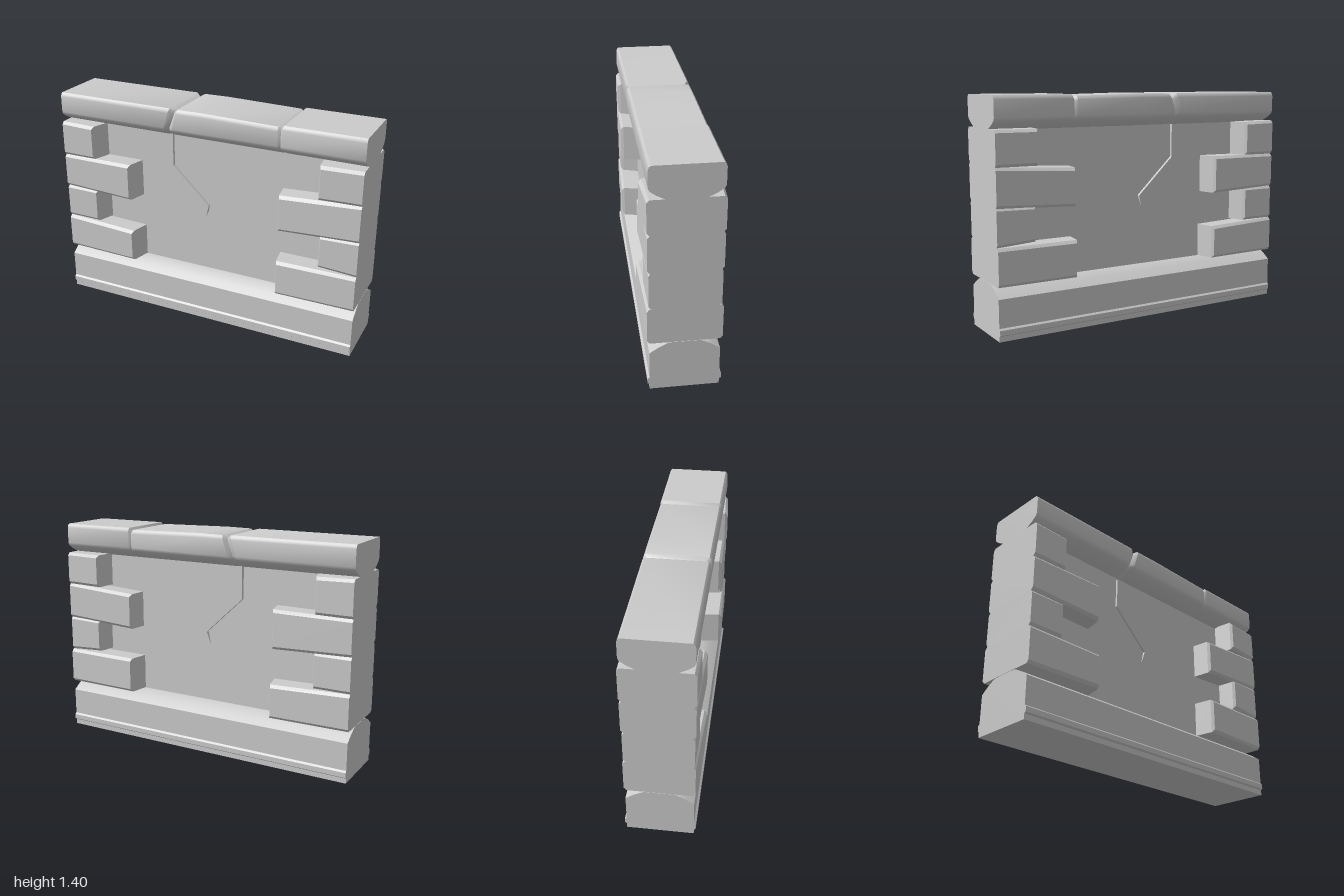
import * as THREE from 'three';
import { toCreasedNormals } from 'three/addons/utils/BufferGeometryUtils.js';
import { ConvexGeometry } from 'three/addons/geometries/ConvexGeometry.js';

const material = new THREE.MeshStandardMaterial({ color: 0xcccccc });
const PANEL_Z = 0.085;

function addMesh(parent, name, geometry) {
  const mesh = new THREE.Mesh(geometry, material);
  mesh.name = name;
  parent.add(mesh);
  return mesh;
}

// Sweeps a half profile of [z, y] points (bottom to top), mirrored in z, along x.
// place(z, y, station) returns the position of a profile point at a station.
function loft(half, stations, place, centreY) {
  const profile = [...half, ...half.map(([z, y]) => [-z, y]).reverse()];
  const n = profile.length, last = stations.length - 1;
  const positions = [], index = [];
  for (const s of stations) for (const [z, y] of profile) positions.push(...place(z, y, s));
  for (let i = 0; i < last; i++) {
    for (let j = 0; j < n; j++) {
      const k = (j + 1) % n, a = i * n, b = a + n;
      index.push(a + j, b + j, b + k, a + j, b + k, a + k);
    }
  }
  // end faces as fans
  const c = (last + 1) * n;
  positions.push(...place(0, centreY, stations[0]), ...place(0, centreY, stations[last]));
  for (let j = 0; j < n; j++) {
    const k = (j + 1) % n;
    index.push(c, j, k, c + 1, last * n + k, last * n + j);
  }
  const geometry = new THREE.BufferGeometry();
  geometry.setAttribute('position', new THREE.Float32BufferAttribute(positions, 3));
  geometry.setIndex(index);
  return toCreasedNormals(geometry, 0.6);
}

// Corner stone through the full depth of the wall, with chamfered faces.
// bottom, top and z are [inner, outer] pairs; slope is the flare of the inner end.
function cornerStone({ side, inner, bottom, top, z, slope }) {
  const points = [], c = 0.018;
  const put = (x, y, depth) => {
    for (const s of [1, -1]) points.push(new THREE.Vector3(side * x, y, s * depth));
  };
  for (const [y0, sign] of [[bottom, 1], [top, -1]]) {
    put(inner - slope, y0[0], PANEL_Z - 0.02);
    put(inner, y0[0], z[0] - c);
    put(inner + 0.01, y0[0] + sign * c, z[0]);
    put(1, y0[1], z[1] - c);
    put(1, y0[1] + sign * c, z[1] - 0.003);
  }
  return new ConvexGeometry(points);
}

// Wall face with a jagged crack cut out of it.
function panelFace() {
  const shape = new THREE.Shape();
  shape.moveTo(-0.97, 0.3).lineTo(0.97, 0.3).lineTo(0.97, 1.25).lineTo(-0.97, 1.25).closePath();
  const crack = [[-0.258, 1.235], [-0.258, 0.99], [-0.012, 0.757], [-0.028, 0.68], [0.004, 0.765], [-0.246, 1.0], [-0.244, 1.235]];
  shape.holes.push(new THREE.Path(crack.map(([x, y]) => new THREE.Vector2(x, y))));
  return new THREE.ExtrudeGeometry(shape, { depth: 0.025, bevelEnabled: false });
}

export function createModel() {
  const wall = new THREE.Group();
  wall.name = 'stoneWall';

  // Plinth with a thin lip and a sloped top
  const plinth = [[0.2, 0], [0.2, 0.032], [0.211, 0.04], [0.211, 0.07], [0.2, 0.08], [0.2, 0.25], [0.15, 0.285], [0.09, 0.316]];
  addMesh(wall, 'plinth', loft(plinth, [-1, 1], (z, y, x) => [x, y, z], 0.15));

  // Recessed panel: a core with a cracked skin on both faces
  const panel = new THREE.Group();
  panel.name = 'panel';
  wall.add(panel);
  const core = addMesh(panel, 'panelCore', new THREE.BoxGeometry(1.94, 0.98, 0.13));
  core.position.y = 0.79;
  addMesh(panel, 'frontFace', panelFace()).position.z = PANEL_Z - 0.025;
  addMesh(panel, 'backFace', panelFace()).position.z = -PANEL_Z;

  // Coping: worn top, with joints that narrow it at x = -0.19 and x = 0.5
  const coping = [[0.08, 1.2], [0.115, 1.212], [0.16, 1.235], [0.192, 1.258], [0.2, 1.275], [0.2, 1.375], [0.195, 1.39], [0.185, 1.4]];
  const stations = [
    { x: -1 }, { x: -0.22 }, { x: -0.19, inset: 0.022, drop: 0.016, skew: 0.06 },
    { x: -0.165, drop: 0.002 }, { x: 0 }, { x: 0.48, drop: 0.01 },
    { x: 0.497, inset: 0.01, drop: 0.018 }, { x: 0.512 }, { x: 1 },
  ];
  for (const i of [1, 3]) stations[i].skew = 0.06;
  addMesh(wall, 'coping', loft(coping, stations, (z, y, { x, inset = 0, drop = 0, skew = 0 }) => [
    x - skew * (1.4 - y) / 0.2,
    y - (y > 1.3 ? drop : 0),
    z - Math.sign(z) * (Math.abs(z) > 0.1 ? inset : 0),
  ], 1.3));

  // Corner stones, alternating long and short, from bottom to top
  const stones = [
    { side: -1, inner: 0.5, bottom: [0.318, 0.318], top: [0.53, 0.545], z: [0.222, 0.21], slope: 0.03 },
    { side: -1, inner: 0.77, bottom: [0.545, 0.545], top: [0.765, 0.765], z: [0.205, 0.205], slope: 0.04 },
    { side: -1, inner: 0.51, bottom: [0.75, 0.765], top: [0.99, 0.985], z: [0.218, 0.21], slope: 0.03 },
    { side: -1, inner: 0.77, bottom: [0.985, 0.985], top: [1.205, 1.21], z: [0.212, 0.212], slope: 0.04 },
    { side: 1, inner: 0.5, bottom: [0.318, 0.318], top: [0.545, 0.545], z: [0.222, 0.215], slope: 0.02 },
    { side: 1, inner: 0.76, bottom: [0.56, 0.545], top: [0.77, 0.775], z: [0.207, 0.205], slope: 0.015 },
    { side: 1, inner: 0.5, bottom: [0.745, 0.77], top: [0.975, 1.003], z: [0.212, 0.21], slope: 0.015 },
    { side: 1, inner: 0.745, bottom: [1.0, 1.0], top: [1.21, 1.21], z: [0.226, 0.212], slope: 0.015 },
  ];
  for (const stone of stones) {
    addMesh(wall, stone.side < 0 ? 'rightCornerStone' : 'leftCornerStone', cornerStone(stone));
  }

  return wall;
}
